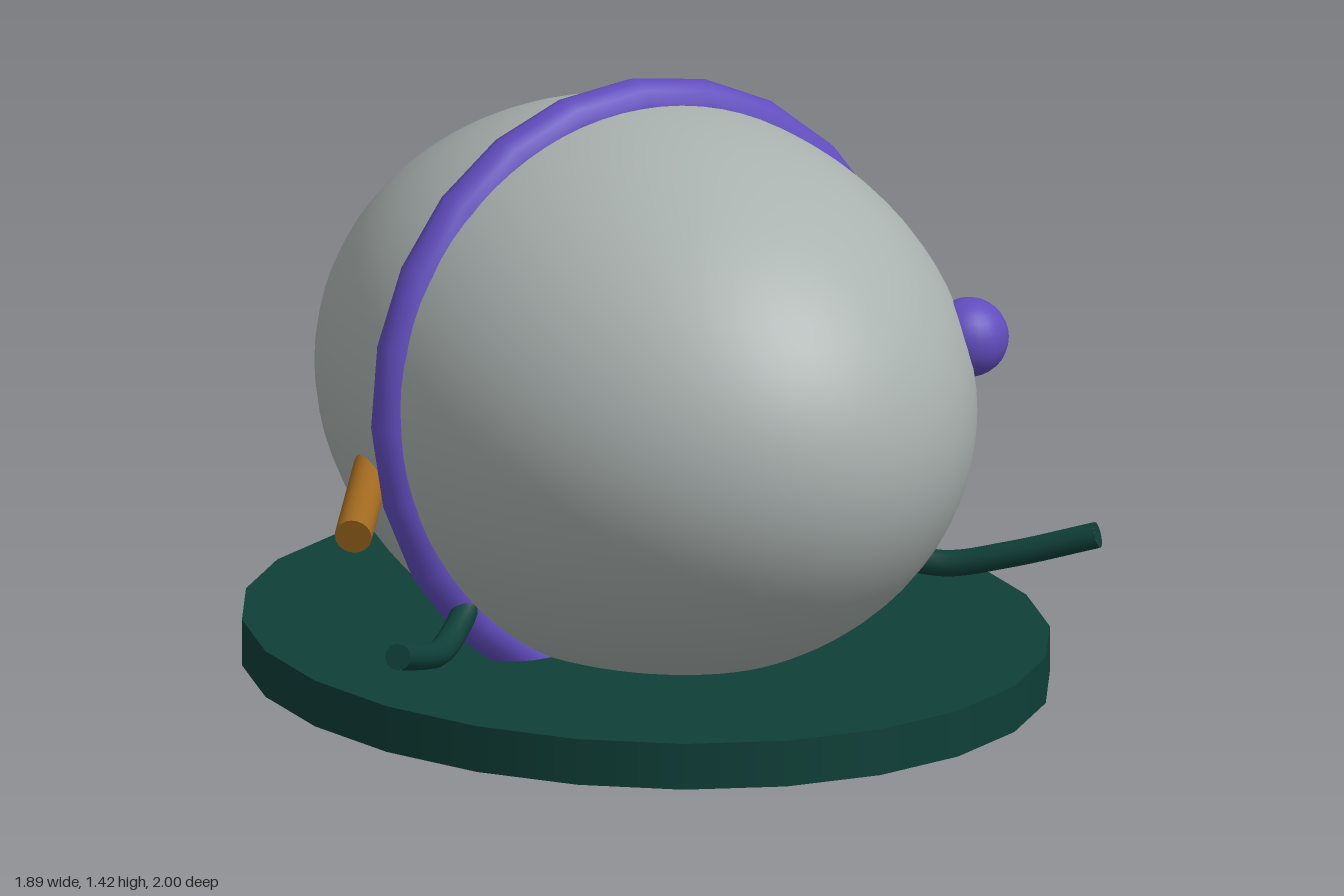
import * as THREE from 'three';

const mat = (name, color) => {
  const m = new THREE.MeshStandardMaterial({ color });
  m.name = name;
  return m;
};

export function createModel() {
  const group = new THREE.Group();
  const grey = mat('shell grey', 0xaab2b0);
  const purple = mat('purple', 0x614dbe);
  const green = mat('dark green', 0x0f3f38);
  const coral = mat('coral', 0xc95f60);
  const brown = mat('amber brown', 0xa0681f);

  const add = (name, geometry, material, x = 0, y = 0, z = 0) => {
    const mesh = new THREE.Mesh(geometry, material);
    mesh.name = name;
    mesh.position.set(x, y, z);
    group.add(mesh);
    return mesh;
  };

  // cylinder running from point a to point b
  const rod = (name, a, b, rA, rB, material) => {
    const dir = b.clone().sub(a);
    const mid = a.clone().add(b).multiplyScalar(0.5);
    const mesh = add(name, new THREE.CylinderGeometry(rB, rA, dir.length(), 20), material, mid.x, mid.y, mid.z);
    mesh.quaternion.setFromUnitVectors(new THREE.Vector3(0, 1, 0), dir.normalize());
  };

  // egg-like body
  add('body', new THREE.SphereGeometry(1, 64, 40).scale(0.68, 0.642, 0.892), grey, 0, 0.728, 0);

  // oval base plate
  add('basePlate', new THREE.CylinderGeometry(1, 1, 0.107, 24).scale(0.875, 1, 1), green, 0, 0.118, 0);

  // tilted band around the middle
  const band = add('band', new THREE.TorusGeometry(0.655, 0.06, 14, 24), purple, 0, 0.713, 0);
  band.rotation.set(-0.115, 0, -0.028);

  // round knob on the front left
  add('knob', new THREE.SphereGeometry(0.09, 24, 16), purple, 0.547, 0.88, 0.495);

  // flared button on the left side
  rod('button', new THREE.Vector3(0.675, 0.765, 0), new THREE.Vector3(0.738, 0.773, 0), 0.032, 0.051, coral);

  // peg on the right side
  rod('peg', new THREE.Vector3(-0.63, 0.6, -0.15), new THREE.Vector3(-0.822, 0.52, 0.078), 0.042, 0.042, brown);

  // curved arms, one on each side, with closed tips
  for (const s of [1, -1]) {
    const curve = new THREE.CatmullRomCurve3([
      [0.47, 0.35, 0.04], [0.55, 0.29, 0.1], [0.66, 0.258, 0.195], [0.77, 0.285, 0.295], [0.925, 0.343, 0.435],
    ].map(([x, y, z]) => new THREE.Vector3(s * x, y, z)));
    const name = s > 0 ? 'leftArm' : 'rightArm';
    add(name, new THREE.TubeGeometry(curve, 24, 0.03, 12), green);
    const tip = curve.getPoint(1);
    const cap = add(name + 'Tip', new THREE.CircleGeometry(0.03, 12), green, tip.x, tip.y, tip.z);
    cap.quaternion.setFromUnitVectors(new THREE.Vector3(0, 0, 1), curve.getTangent(1));
  }
  return group;
}
